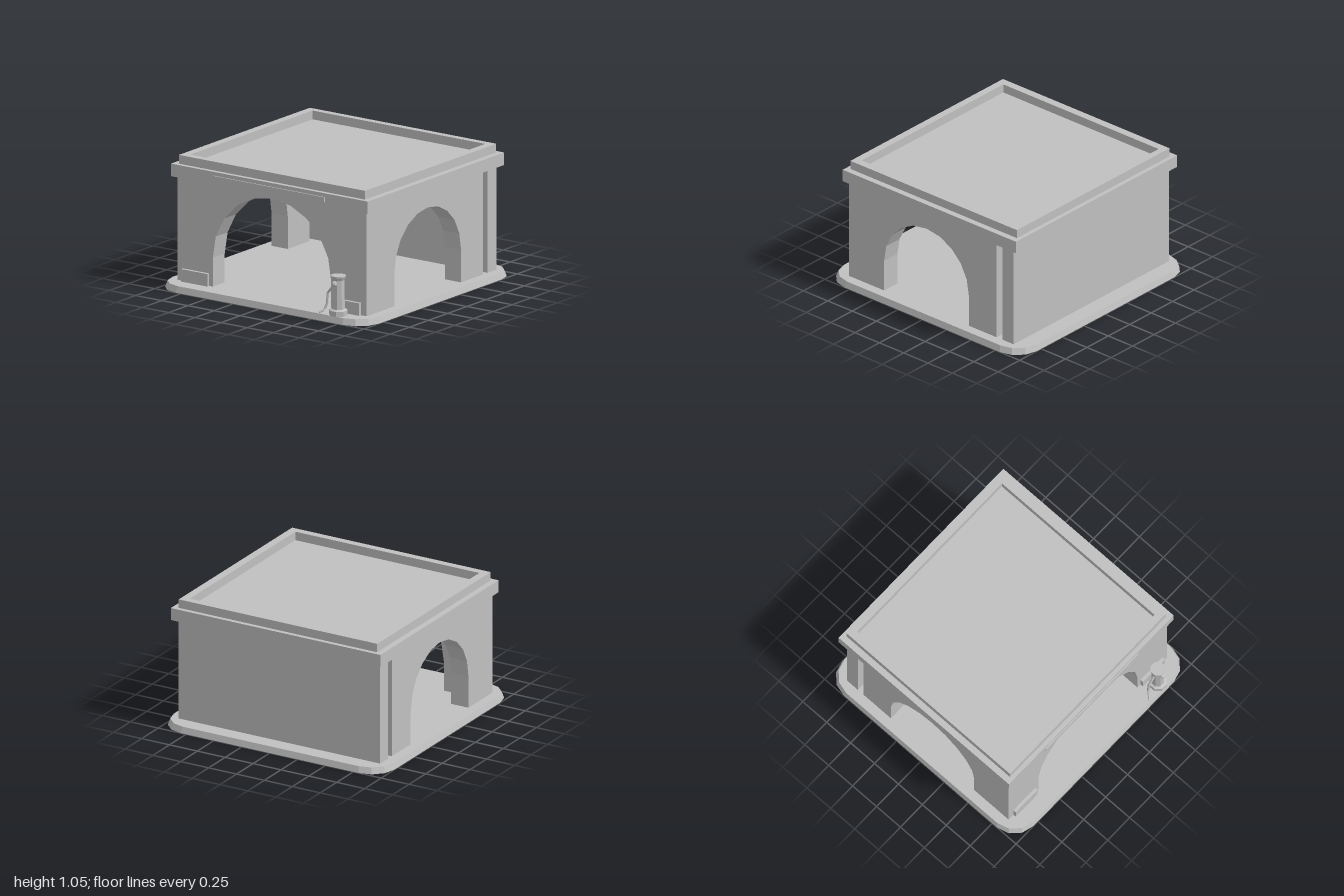
import * as THREE from 'three';

const stone = new THREE.MeshStandardMaterial({ color: 0xc0c0c0 });
stone.name = 'grey stone';

function add(parent, name, geometry) {
  const mesh = new THREE.Mesh(geometry, stone);
  mesh.name = name;
  parent.add(mesh);
  return mesh;
}

// box given by its lower and upper limits on each axis
function block(parent, name, x0, x1, y0, y1, z0, z1) {
  const g = new THREE.BoxGeometry(x1 - x0, y1 - y0, z1 - z0);
  g.translate((x0 + x1) / 2, (y0 + y1) / 2, (z0 + z1) / 2);
  return add(parent, name, g);
}

function flat(geometry) {
  const g = geometry.index ? geometry.toNonIndexed() : geometry;
  g.computeVertexNormals();
  return g;
}

// upright wall with a ten-sided arch cut up from its foot
function archWall(u0, u1, y0, y1, centre, radius, spring, thickness) {
  const s = new THREE.Shape();
  s.moveTo(u0, y0);
  s.lineTo(centre - radius, y0);
  for (let i = 0; i <= 10; i++) {
    const a = Math.PI * (1 - i / 10);
    s.lineTo(centre + radius * Math.cos(a), spring + radius * Math.sin(a));
  }
  s.lineTo(centre + radius, y0);
  s.lineTo(u1, y0);
  s.lineTo(u1, y1);
  s.lineTo(u0, y1);
  s.closePath();
  return new THREE.ExtrudeGeometry(s, { depth: thickness, bevelEnabled: false });
}

// square slab with rounded corners, slightly narrower at the top
function baseSlab() {
  const s = new THREE.Shape();
  const r = 0.2;
  for (let c = 0; c < 4; c++) {
    const cx = (c === 0 || c === 3 ? 1 : -1) * (1 - r);
    const cy = (c < 2 ? 1 : -1) * (1 - r);
    for (let i = 0; i <= 3; i++) {
      const a = (c + i / 3) * Math.PI / 2;
      const x = cx + r * Math.cos(a), y = cy + r * Math.sin(a);
      if (c + i === 0) s.moveTo(x, y); else s.lineTo(x, y);
    }
  }
  s.closePath();
  const g = new THREE.ExtrudeGeometry(s, { depth: 0.05, bevelEnabled: false });
  g.rotateX(-Math.PI / 2);
  const p = g.attributes.position;
  for (let i = 0; i < p.count; i++) {
    if (p.getY(i) > 0.02) p.setXYZ(i, p.getX(i) * 0.985, p.getY(i), p.getZ(i) * 0.985);
  }
  return flat(g);
}

// short post with a foot, flared cap, knob and hanging hose
function makePost() {
  const post = new THREE.Group();
  post.name = 'post';
  const profile = [[0, 0.05], [0.073, 0.05], [0.073, 0.09], [0.052, 0.1], [0.048, 0.33],
    [0.06, 0.355], [0.06, 0.365], [0, 0.365]].map(([x, y]) => new THREE.Vector2(x, y));
  const body = flat(new THREE.LatheGeometry(profile, 8));
  body.rotateY(Math.PI / 8);
  body.translate(0.7, 0, 0.925);
  add(post, 'postBody', body);

  const knob = flat(new THREE.SphereGeometry(0.024, 8, 6));
  knob.translate(0.7, 0.305, 0.975);
  add(post, 'knob', knob);

  const points = [[0.67, 0.285, 0.925], [0.65, 0.27, 0.925], [0.6, 0.21, 0.925],
    [0.592, 0.12, 0.925], [0.58, 0.075, 0.94], [0.55, 0.058, 0.98]];
  const path = new THREE.CurvePath();
  for (let i = 1; i < points.length; i++) {
    path.add(new THREE.LineCurve3(new THREE.Vector3(...points[i - 1]), new THREE.Vector3(...points[i])));
  }
  add(post, 'hose', flat(new THREE.TubeGeometry(path, 14, 0.01, 5, false)));
  return post;
}

export function createModel() {
  const model = new THREE.Group();
  model.name = 'archedBuilding';

  add(model, 'base', baseSlab());

  // front wall with the wide arch
  const front = add(model, 'frontWall', archWall(-0.905, 0.905, 0.05, 0.88, 0, 0.565, 0.28, 0.155));
  front.position.z = 0.68;

  // side walls with smaller arches; the shape's x runs along -z
  for (const [name, x] of [['leftWall', 0.75], ['rightWall', -0.905]]) {
    const g = archWall(-0.68, 0.68, 0.05, 0.88, -0.04, 0.435, 0.31, 0.155);
    g.rotateY(Math.PI / 2);
    add(model, name, g).position.x = x;
  }

  // back wall stands free behind a narrow gap
  block(model, 'backWall', -0.905, 0.905, 0.05, 0.88, -0.855, -0.74);

  // roof slab and raised parapet
  block(model, 'roofSlab', -0.94, 0.94, 0.88, 0.98, -0.91, 0.87);
  const rim = new THREE.Group();
  rim.name = 'parapet';
  block(rim, 'frontParapet', -0.89, 0.89, 0.98, 1.05, 0.775, 0.835);
  block(rim, 'backParapet', -0.89, 0.89, 0.98, 1.05, -0.875, -0.82);
  block(rim, 'leftParapet', 0.825, 0.89, 0.98, 1.05, -0.82, 0.775);
  block(rim, 'rightParapet', -0.89, -0.825, 0.98, 1.05, -0.82, 0.775);
  model.add(rim);

  // front details
  block(model, 'signStrip', -0.53, 0.53, 0.91, 0.95, 0.87, 0.879);
  block(model, 'rightPlinth', -0.85, -0.6, 0.05, 0.15, 0.83, 0.86);
  block(model, 'leftPlinth', 0.6, 0.85, 0.05, 0.15, 0.83, 0.86);

  model.add(makePost());
  return model;
}
